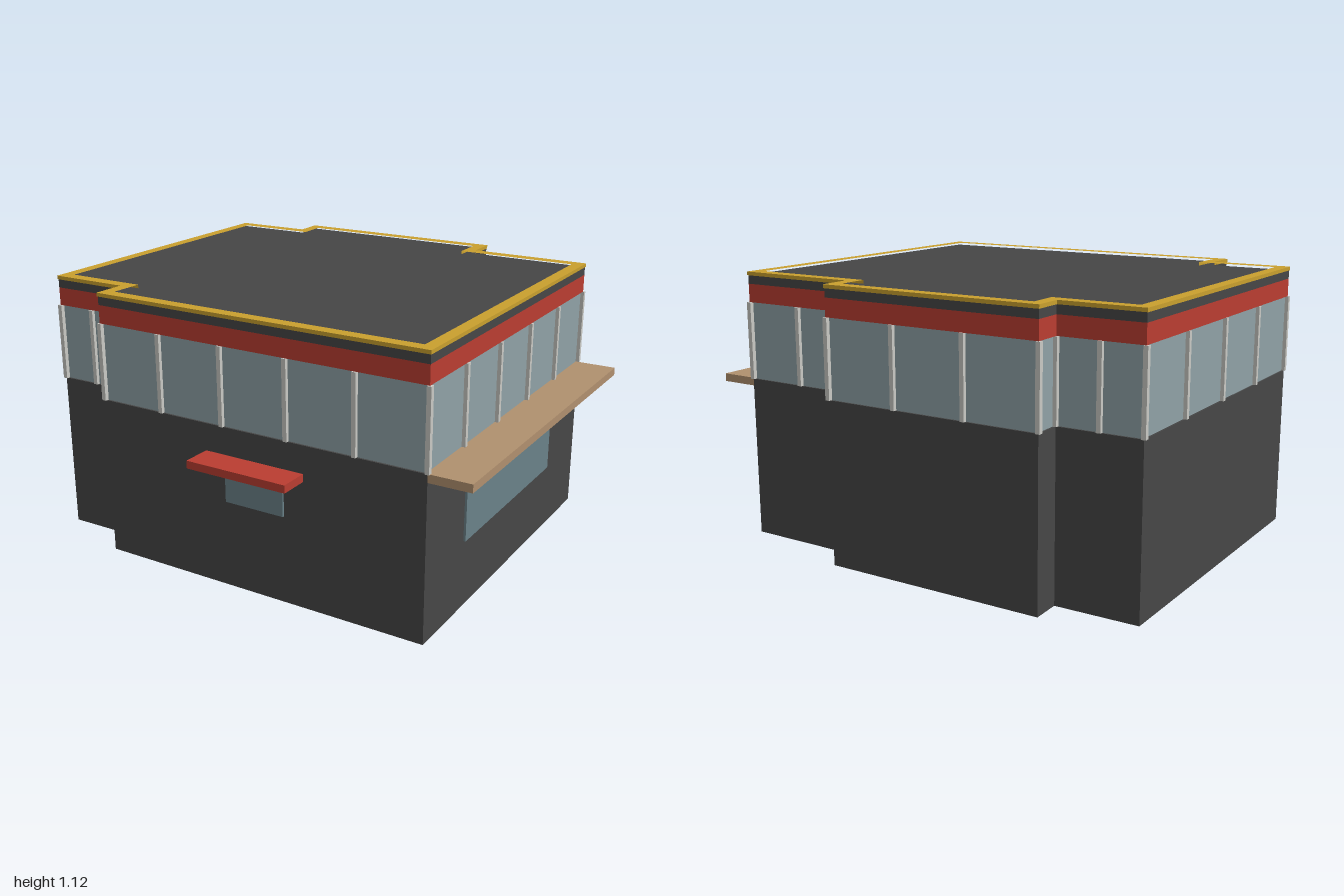
import * as THREE from 'three';

const mat = (name, color) => {
  const m = new THREE.MeshStandardMaterial({ color });
  m.name = name;
  return m;
};

export function createModel() {
  const model = new THREE.Group();
  model.name = 'building';
  const charcoal = mat('charcoal', 0x464646);
  const red = mat('red', 0xba3d31);
  const gold = mat('gold', 0xc9a02e);
  const tan = mat('tan', 0xb0906e);
  const paleGlass = mat('pale glass', 0x8fa1a6);
  const darkGlass = mat('dark glass', 0x6a8188);
  const frame = mat('light grey frame', 0xc9c9c4);

  // Footprint corners as (x, z), starting at the back on -x and running along the back
  const plan = [
    [-0.967, -0.752], [-0.628, -0.752], [-0.628, -0.872], [0.308, -0.86], [0.306, -0.732],
    [0.828, -0.722], [0.802, 0.765], [-0.66, 0.727], [-0.653, 0.592], [-0.993, 0.588],
  ].map(([x, z]) => new THREE.Vector2(x, z));
  const n = plan.length;
  const edge = (i) => {
    const a = plan[i % n], d = plan[(i + 1) % n].clone().sub(a);
    const length = d.length();
    d.divideScalar(length);
    return { a, d, length, out: new THREE.Vector2(d.y, -d.x) };
  };

  // Footprint grown outwards (or shrunk, if negative) by a distance
  const offset = (dist) => plan.map((p, i) => {
    const n0 = edge(i + n - 1).out, n1 = edge(i).out;
    const k = dist / (1 + n0.dot(n1));
    return new THREE.Vector2(p.x + (n0.x + n1.x) * k, -(p.y + (n0.y + n1.y) * k));
  });

  // Storey band that follows the footprint, optionally hollow
  const band = (name, material, y0, y1, grow, holeGrow) => {
    const shape = new THREE.Shape(offset(grow));
    if (holeGrow !== undefined) shape.holes.push(new THREE.Path(offset(holeGrow)));
    const geo = new THREE.ExtrudeGeometry(shape, { depth: y1 - y0, bevelEnabled: false });
    geo.rotateX(-Math.PI / 2).translate(0, y0, 0);
    const mesh = new THREE.Mesh(geo, material);
    mesh.name = name;
    model.add(mesh);
  };

  // Box set on one wall, from s0 to s1 along it and from inner to outer across it
  const wallBox = (name, material, i, [s0, s1], [y0, y1], [inner, outer], parent = model) => {
    const { a, d, out } = edge(i);
    const s = (s0 + s1) / 2, o = (inner + outer) / 2;
    const mesh = new THREE.Mesh(new THREE.BoxGeometry(s1 - s0, y1 - y0, outer - inner), material);
    mesh.position.set(a.x + d.x * s + out.x * o, (y0 + y1) / 2, a.y + d.y * s + out.y * o);
    mesh.rotation.y = Math.atan2(-d.y, d.x);
    mesh.name = name;
    parent.add(mesh);
  };

  // Stacked bands
  band('lowerWall', charcoal, 0, 0.67, 0);
  band('windowBand', paleGlass, 0.67, 0.99, -0.008);
  band('redFascia', red, 0.99, 1.065, 0);
  band('roofSlab', charcoal, 1.065, 1.1, 0);
  band('roofTrim', gold, 1.1, 1.115, 0.003, -0.046);

  // Window posts: one at each corner, the rest evenly spaced along each wall
  const posts = new THREE.Group();
  posts.name = 'windowPosts';
  model.add(posts);
  [2, 1, 3, 1, 2, 5, 5, 1, 2, 4].forEach((spans, i) => {
    for (let k = 0; k < spans; k++) {
      const s = edge(i).length * k / spans;
      wallBox('windowPost', frame, i, [s - 0.009, s + 0.009], [0.67, 0.99], [-0.012, 0.007], posts);
    }
  });

  // Side wall: long shelf over a wide window
  wallBox('sideShelf', tan, 5, [0.008, 1.487], [0.638, 0.671], [-0.01, 0.171]);
  wallBox('sideWindow', darkGlass, 5, [0.332, 1.167], [0.28, 0.615], [0, 0.009]);

  // Front wall: small window under a red canopy
  wallBox('frontWindow', darkGlass, 6, [0.597, 0.862], [0.365, 0.505], [0, 0.009]);
  wallBox('frontCanopy', red, 6, [0.51, 0.955], [0.525, 0.557], [-0.01, 0.122]);

  return model;
}
